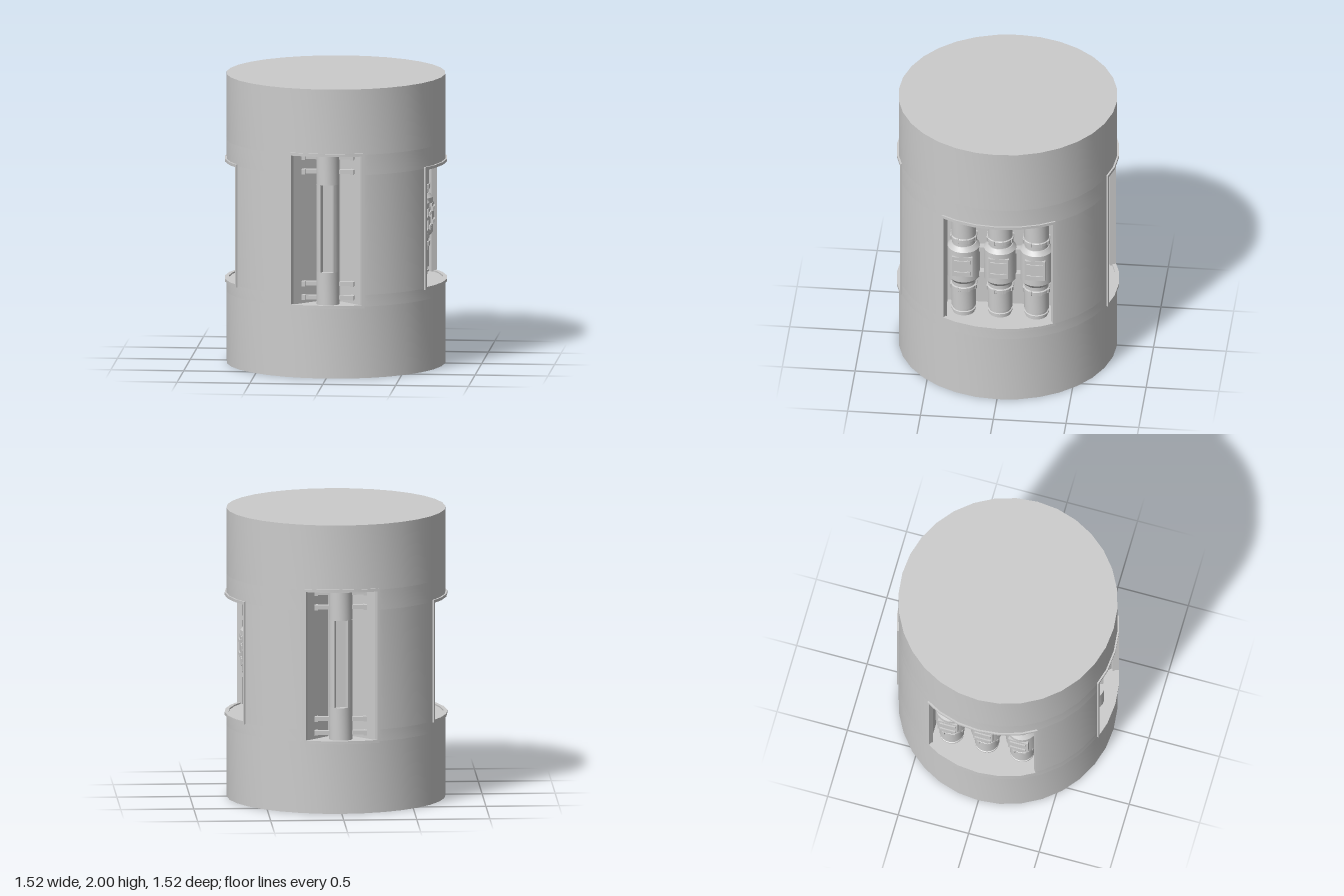
import * as THREE from 'three';
import { toCreasedNormals } from 'three/addons/utils/BufferGeometryUtils.js';

const R = 0.75, STEP = Math.PI / 16; // 32-sided housing
const material = new THREE.MeshStandardMaterial({ color: 0xcccccc });

function add(parent, name, geometry, x = 0, y = 0, z = 0) {
  const mesh = new THREE.Mesh(geometry, material);
  mesh.name = name;
  mesh.position.set(x, y, z);
  parent.add(mesh);
  return mesh;
}

// Extrudes a plan outline of [x, z] points upward from y0 to y1
function slab(points, y0, y1) {
  const shape = new THREE.Shape(points.map(([x, z]) => new THREE.Vector2(x, -z)));
  const geometry = new THREE.ExtrudeGeometry(shape, { depth: y1 - y0, bevelEnabled: false });
  geometry.rotateX(-Math.PI / 2).translate(0, y0, 0);
  return toCreasedNormals(geometry, 0.5);
}

// Point on the 32-sided outline; angle 0 is +z, PI/2 is +x
function rimPoint(angle, radius) {
  const offset = angle - (Math.floor(angle / STEP) + 0.5) * STEP;
  const r = radius * Math.cos(STEP / 2) / Math.cos(offset);
  return [r * Math.sin(angle), r * Math.cos(angle)];
}

function arc(radius, a0, a1) {
  const points = [rimPoint(a0, radius)];
  for (let k = Math.ceil(a0 / STEP - 16) + 16; k * STEP < a1 - 1e-4; k++) {
    if (k * STEP > a0 + 1e-4) points.push(rimPoint(k * STEP, radius));
  }
  points.push(rimPoint(a1, radius));
  return points;
}

const turn = ([x, z], a) => [x * Math.cos(a) + z * Math.sin(a), z * Math.cos(a) - x * Math.sin(a)];

// Windows: half angle, height range and the recess outline behind the opening
const rodWindow = {
  half: 0.331, y0: 0.495, y1: 1.545,
  recess: [[-0.243, 0.665], [-0.08, 0.49], [0.08, 0.49], [0.243, 0.665]],
};
const podWindow = {
  half: 0.524, y0: 0.575, y1: 1.405,
  recess: [[-0.372, 0.42], [0.372, 0.42]],
};

// Housing outline with the given windows cut into its four sides
function housingOutline(sides) {
  const points = [];
  sides.forEach((win, i) => {
    const mid = i * Math.PI / 2;
    const next = sides[(i + 1) % 4];
    if (win) points.push(...win.recess.map((p) => turn(p, mid)));
    const from = mid + (win ? win.half : 0);
    const to = mid + Math.PI / 2 - (next ? next.half : 0);
    const span = arc(R, from, to);
    points.push(...(next ? span : span.slice(0, -1)));
  });
  return points;
}

// Raised border around a window
function addFrame(parent, { half, y0, y1 }) {
  const outer = half + 0.018;
  const sector = (a0, a1, inner) => [...arc(0.762, a0, a1), ...arc(inner, a0, a1).reverse()];
  for (const y of [y0, y1]) {
    add(parent, 'frameRail', slab(sector(-outer, outer, 0.735), y - 0.01, y + 0.01));
  }
  for (const s of [-1, 1]) {
    const a = s < 0 ? -outer : half - 0.003;
    add(parent, 'frameStile', slab(sector(a, a + 0.021, 0.72), y0, y1));
  }
}

// Upright rod with a tapered slot and wall brackets
function makeRodBay() {
  const bay = new THREE.Group();
  bay.name = 'rodBay';
  addFrame(bay, rodWindow);
  const radius = 0.08, z = 0.6;
  const circle = (from, to) => Array.from({ length: 25 }, (_, i) => {
    const a = from + (to - from) * i / 24;
    return [radius * Math.sin(a), z + radius * Math.cos(a)];
  });
  const full = circle(0, Math.PI * 2).slice(0, -1);
  const slotted = [...circle(0.6, Math.PI * 2 - 0.6), [-0.032, 0.635], [0.032, 0.635]];
  add(bay, 'rodLower', slab(full, 0.49, 0.72));
  add(bay, 'rodSlotted', slab(slotted, 0.72, 1.325));
  add(bay, 'rodUpper', slab(full, 1.325, 1.55));
  for (const y of [0.54, 0.635, 1.41, 1.51]) {
    for (const s of [-1, 1]) {
      add(bay, 'bracketArm', new THREE.BoxGeometry(0.12, 0.028, 0.04), s * 0.12, y, 0.595);
      add(bay, 'bracketTip', new THREE.BoxGeometry(0.024, 0.034, 0.06), s * 0.167, y, 0.6);
    }
  }
  return bay;
}

// One canister: lathe profile mirrored about its middle
function makePod() {
  const pod = new THREE.Group();
  pod.name = 'pod';
  const half = [
    [0.112, 0.12], [0.088, 0.15], [0.082, 0.15], [0.082, 0.182], [0.092, 0.187],
    [0.092, 0.208], [0.085, 0.213], [0.085, 0.36], [0.076, 0.364], [0.076, 0.38],
    [0.084, 0.383], [0.084, 0.395], [0.076, 0.398], [0.076, 0.42],
  ];
  const profile = [...half.map(([r, y]) => [r, -y]).reverse(), ...half]
    .map(([r, y]) => new THREE.Vector2(r, y));
  add(pod, 'canister', toCreasedNormals(new THREE.LatheGeometry(profile, 24), 0.5));
  add(pod, 'facePlate', new THREE.BoxGeometry(0.14, 0.155, 0.04), 0, 0.005, 0.092);
  for (const s of [-1, 1]) {
    add(pod, 'handle', new THREE.BoxGeometry(0.11, 0.022, 0.012), 0, s * 0.045, 0.115);
    for (const e of [-1, 1]) {
      add(pod, 'handleEnd', new THREE.BoxGeometry(0.022, 0.03, 0.014), e * 0.045, s * 0.045, 0.115);
    }
    // Lugs around the clamp ring
    for (let i = 0; i < 8; i++) {
      const a = (i + 0.5) * Math.PI / 4;
      const lug = add(pod, 'ringLug', new THREE.BoxGeometry(0.02, 0.03, 0.012),
        0.092 * Math.sin(a), s * 0.1975, 0.092 * Math.cos(a));
      lug.rotation.y = a;
    }
  }
  return pod;
}

// Three canisters side by side, joined by short links
function makePodBay() {
  const bay = new THREE.Group();
  bay.name = 'podBay';
  addFrame(bay, podWindow);
  for (const x of [-0.25, 0, 0.25]) {
    const pod = makePod();
    pod.position.set(x, 0.99, 0.53);
    bay.add(pod);
  }
  for (const x of [-0.125, 0.125]) {
    for (const y of [0.89, 1.09]) {
      add(bay, 'podLink', new THREE.BoxGeometry(0.07, 0.035, 0.05), x, y, 0.53);
    }
  }
  return bay;
}

export function createModel() {
  const model = new THREE.Group();
  model.name = 'cylinderHousing';

  // Housing stacked from layers, so recess floors and ceilings close themselves
  const { y0: a, y1: d } = rodWindow;
  const { y0: b, y1: c } = podWindow;
  const solid = [null, null, null, null];
  const rods = [rodWindow, null, rodWindow, null];
  const all = [rodWindow, podWindow, rodWindow, podWindow];
  const layers = [[solid, 0, a], [rods, a, b], [all, b, c], [rods, c, d], [solid, d, 2]];
  for (const [sides, y0, y1] of layers) {
    add(model, 'housing', slab(housingOutline(sides), y0, y1));
  }

  // Opposite bays match
  for (const angle of [0, Math.PI]) {
    const rodBay = makeRodBay();
    rodBay.rotation.y = angle;
    const podBay = makePodBay();
    podBay.rotation.y = angle + Math.PI / 2;
    model.add(rodBay, podBay);
  }
  return model;
}
